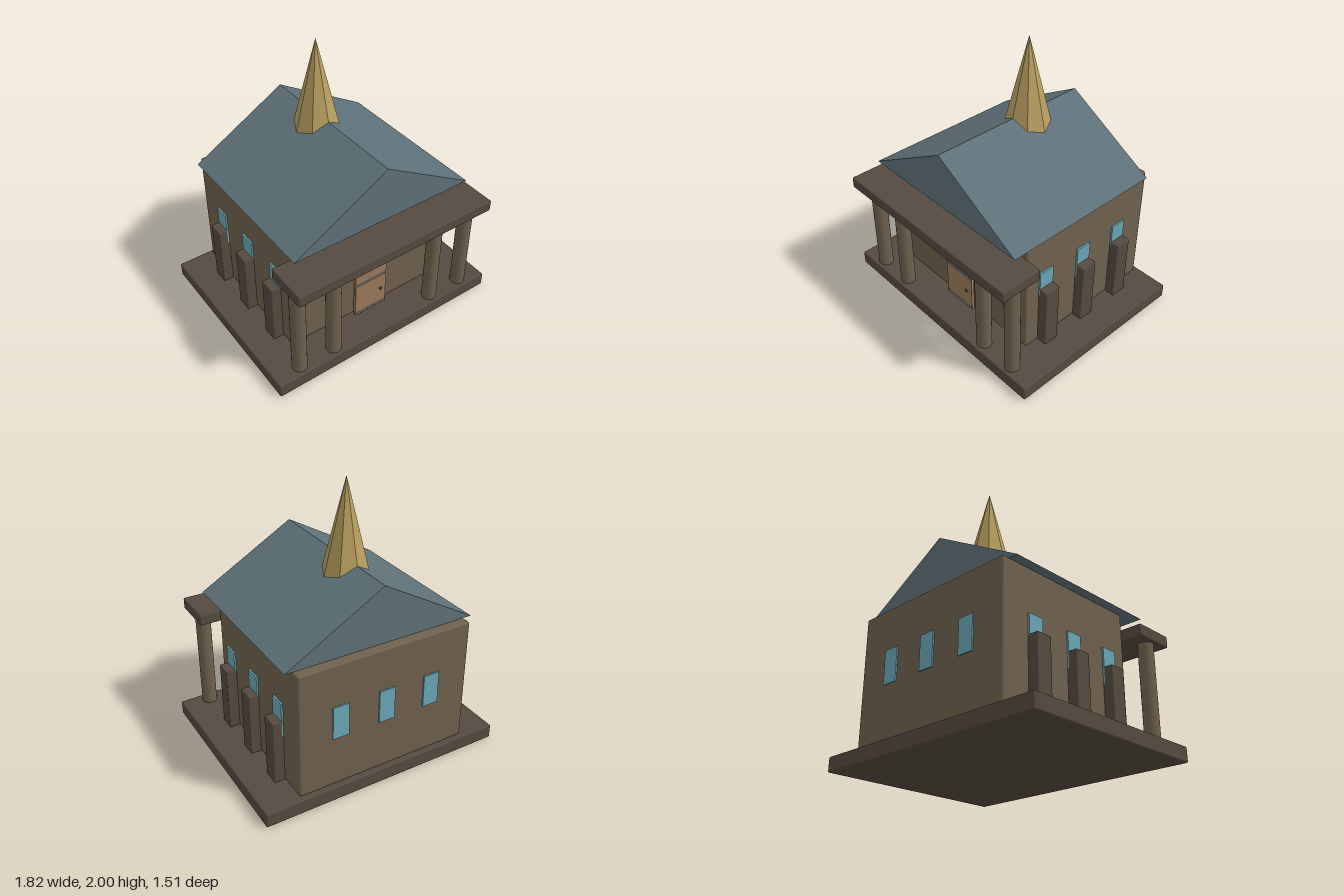
import * as THREE from 'three';
import { RoundedBoxGeometry } from 'three/addons/geometries/RoundedBoxGeometry.js';

const paint = (color, flatShading = false) => {
  const m = new THREE.MeshStandardMaterial({ color });
  m.flatShading = flatShading;
  return m;
};

export function createModel() {
  const group = new THREE.Group();
  const stone = paint(0x6f614e);
  const darkStone = paint(0x554a40);
  const slate = paint(0x5e7178, true);
  const glass = paint(0x6aa7b8);
  const wood = paint(0x9c7a5a);
  const steel = paint(0x8f9496);
  const iron = paint(0x4a4038);
  const gold = paint(0xb89f60, true);

  const add = (name, geometry, material, x = 0, y = 0, z = 0) => {
    const mesh = new THREE.Mesh(geometry, material);
    mesh.name = name;
    mesh.position.set(x, y, z);
    group.add(mesh);
    return mesh;
  };
  // Softly bevelled box given by its limits on each axis
  const block = (name, material, [x0, x1], [y0, y1], [z0, z1], bevel = 0.01) =>
    add(name, new RoundedBoxGeometry(x1 - x0, y1 - y0, z1 - z0, 2, bevel), material,
      (x0 + x1) / 2, (y0 + y1) / 2, (z0 + z1) / 2);

  // Plinth and main hall
  block('base', darkStone, [-0.91, 0.91], [0, 0.105], [-0.755, 0.675]);
  block('walls', stone, [-0.65, 0.65], [0.105, 1.025], [-0.72, 0.42], 0.015);

  // Gabled roof
  const gable = new THREE.Shape([
    new THREE.Vector2(-0.705, 1.028),
    new THREE.Vector2(0.705, 1.028),
    new THREE.Vector2(0, 1.435),
  ]);
  add('roof', new THREE.ExtrudeGeometry(gable, { depth: 1.235, bevelEnabled: false }), slate, 0, 0, -0.658);

  // Eight-sided spire set into the ridge
  add('spire', new THREE.ConeGeometry(0.2, 0.8, 8), gold, 0, 1.6, -0.2);

  // Porch columns and lintel
  for (const x of [-0.71, -0.43, 0.43, 0.71])
    add('column', new THREE.CylinderGeometry(0.054, 0.054, 0.75, 24), stone, x, 0.475, 0.6);
  block('lintel', darkStone, [-0.79, 0.79], [0.842, 0.927], [0.44, 0.752]);

  // Side buttresses with a window above each
  for (const side of [-1, 1]) {
    for (const z of [0.247, -0.103, -0.453]) {
      add('buttress', new RoundedBoxGeometry(0.12, 0.475, 0.12, 2, 0.008), darkStone, side * 0.665, 0.34, z);
      add('sideWindow', new THREE.BoxGeometry(0.03, 0.25, 0.12), glass, side * 0.647, 0.587, z);
    }
  }

  // Rear windows
  for (const x of [-0.35, 0, 0.35])
    add('rearWindow', new THREE.BoxGeometry(0.12, 0.24, 0.03), glass, x, 0.6, -0.715);

  // Door with its two straps and knob
  block('door', wood, [-0.135, 0.135], [0.105, 0.505], [0.43, 0.455], 0.004);
  for (const y of [0.122, 0.393])
    add('doorStrap', new THREE.BoxGeometry(0.24, 0.014, 0.01), steel, 0, y, 0.456);
  add('doorKnob', new THREE.SphereGeometry(0.011, 16, 10), iron, 0.085, 0.258, 0.46);

  return group;
}
